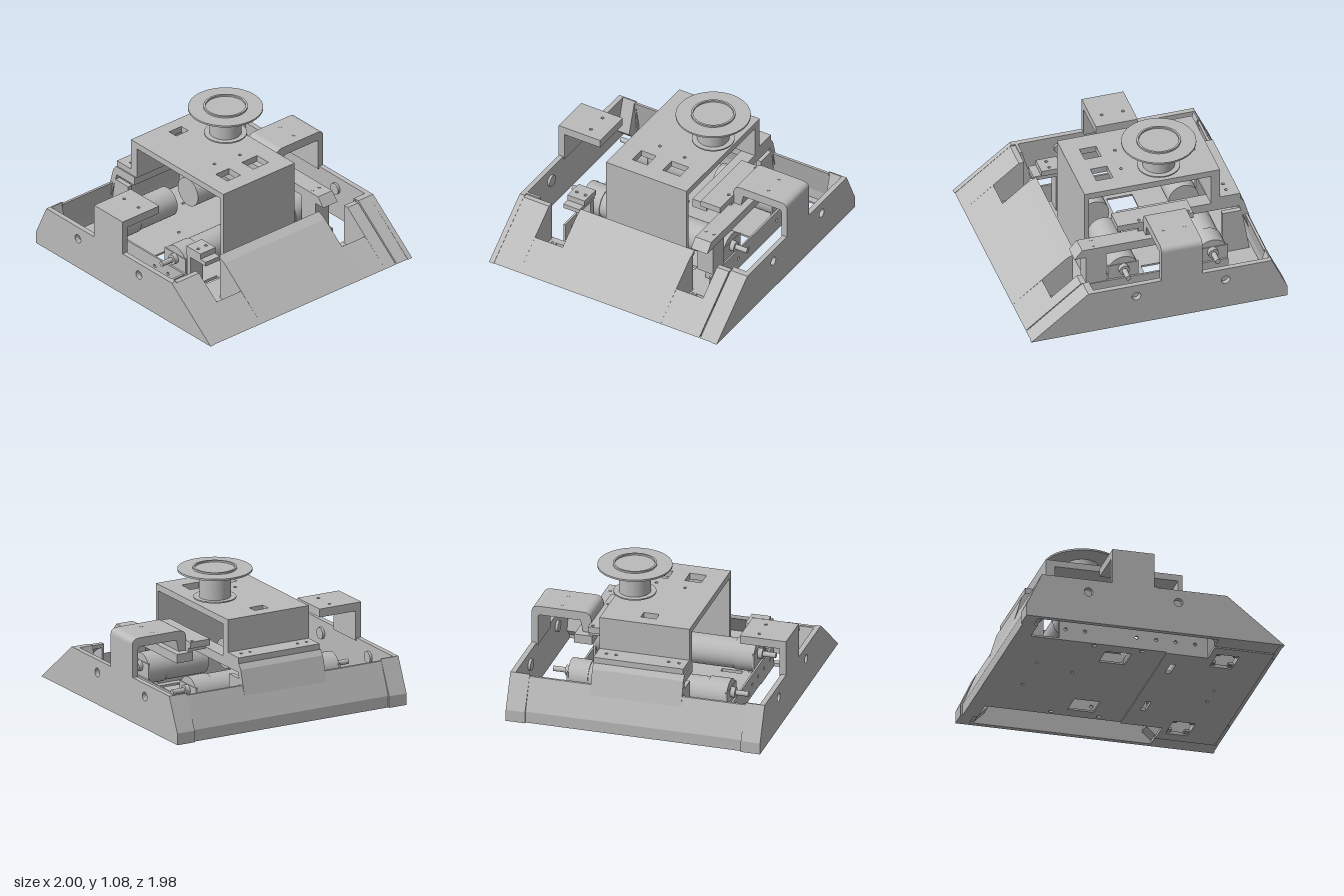
import * as THREE from 'three';

const grey = new THREE.MeshStandardMaterial({ color: 0xbababa });
grey.name = 'plain grey';

export function createModel() {
  const model = new THREE.Group();
  model.name = 'robotChassis';

  const add = (name, geometry) => {
    const mesh = new THREE.Mesh(geometry, grey);
    mesh.name = name;
    model.add(mesh);
    return mesh;
  };
  // box from its limits on each axis
  const box = (name, x0, x1, y0, y1, z0, z1) => add(name,
    new THREE.BoxGeometry(x1 - x0, y1 - y0, z1 - z0)
      .translate((x0 + x1) / 2, (y0 + y1) / 2, (z0 + z1) / 2));
  const toShape = pts => new THREE.Shape(pts.map(p => new THREE.Vector2(...p)));
  const circle = (x, y, r) => new THREE.Path().absarc(x, y, r, 0, Math.PI * 2, true);
  // front profile (x, y) pushed along z
  const alongZ = (name, pts, z0, z1, holes = []) => {
    const s = toShape(pts);
    holes.forEach(([x, y, r]) => s.holes.push(circle(x, y, r)));
    return add(name, new THREE.ExtrudeGeometry(s, { depth: z1 - z0, bevelEnabled: false, curveSegments: 16 })
      .translate(0, 0, z0));
  };
  // plan outline (x, z) pushed up, with rectangular and round holes
  const rect = ([x0, x1, z0, z1]) => [[x0, z1], [x1, z1], [x1, z0], [x0, z0]];
  const plan = pts => toShape(pts.map(([x, z]) => [x, -z]));
  const plate = (name, outline, y0, y1, rects = [], rounds = []) => {
    const s = plan(outline);
    rects.forEach(r => s.holes.push(plan(rect(r).reverse())));
    rounds.forEach(([x, z, r = 0.012]) => s.holes.push(circle(x, -z, r)));
    return add(name, new THREE.ExtrudeGeometry(s, { depth: y1 - y0, bevelEnabled: false, curveSegments: 8 })
      .rotateX(-Math.PI / 2).translate(0, y0, 0));
  };
  const cylZ = (name, x, y, r, z0, z1) => add(name,
    new THREE.CylinderGeometry(r, r, Math.abs(z1 - z0), 32)
      .rotateX(Math.PI / 2).translate(x, y, (z0 + z1) / 2));
  const disc = (name, r, y0, y1) => add(name,
    new THREE.CylinderGeometry(r, r, y1 - y0, 64).translate(-0.237, (y0 + y1) / 2, -0.217));
  const screw = (name, x, y, z, r = 0.013) => add(name,
    new THREE.CylinderGeometry(r, r, 0.006, 16).translate(x, y, z));

  // floor with side cut-outs for the wheels, square wells, slots and screw holes
  const wells = [[0.55, 0.72, 0.5, 0.72], [0.55, 0.72, -0.72, -0.5]];
  const slots = [[0.26, 0.3, -0.38, -0.22], [0.26, 0.3, 0.3, 0.46]];
  plate('floor', [[-0.97, 0.84], [-0.87, 0.84], [-0.87, 0.64], [0.5, 0.64], [0.5, 0.95], [0.96, 0.95],
    [0.96, -0.84], [0.5, -0.84], [0.5, -0.64], [-0.87, -0.64], [-0.87, -0.84], [-0.97, -0.84]], 0.01, 0.025,
    [...wells, ...slots, [-0.26, -0.06, 0.34, 0.53], [-0.26, -0.06, -0.53, -0.34]],
    [[-0.37, 0.6, 0.018], [0, 0.6, 0.018], [-0.37, -0.6, 0.018], [0, -0.6, 0.018],
      [-0.4, 0.1], [-0.7, 0.2], [-0.7, -0.2], [0.7, 0.1], [0.7, -0.1]]);
  plate('scraperPlate', [[0.18, 0.64], [0.5, 0.64], [0.5, 0.83], [0.96, 0.83],
    [0.96, -0.83], [0.5, -0.83], [0.5, -0.64], [0.18, -0.64]], 0, 0.01,
    [...wells, ...slots], [[0.7, 0.1], [0.7, -0.1]]);
  // mounting tabs in the corners of each well
  for (const [x0, x1, z0, z1] of wells) {
    box('wellBackRim', x1, 0.76, 0.02, 0.045, z0, z1);
    for (const x of [x0, x1 - 0.035]) for (const z of [z0, z1 - 0.05])
      plate('wellTab', rect([x, x + 0.035, z, z + 0.05]), 0.012, 0.03, [], [[x + 0.017, z + 0.025]]);
  }

  // long side walls with axle holes, bosses and end blocks
  const wall = [[-1, 0.01], [0.995, 0.01], [0.55, 0.36], [-0.88, 0.36], [-1, 0.1]];
  const axles = [-0.52, 0.175];
  for (const s of [-1, 1]) {
    const span = (a, b) => s > 0 ? [a, b] : [-b, -a];
    alongZ('sideWall', wall, ...span(0.95, 0.99), axles.map(x => [x, 0.26, 0.034]));
    axles.forEach(x => cylZ('axleBoss', x, 0.26, 0.045, s * 0.93, s * 0.952));
    alongZ('leftEndBlock', [[-1, 0.01], [-0.9, 0.01], [-0.87, 0.36], [-0.88, 0.36], [-1, 0.1]],
      ...span(0.84, 0.95));
    alongZ('leftCornerGusset', [[-0.9, 0.02], [-0.87, 0.02], [-0.79, 0.1], [-0.87, 0.36]], ...span(0.85, 0.95));
    alongZ('rightCornerGusset', [[0.43, 0.1], [0.52, 0.02], [0.52, 0.36], [0.5, 0.36]], ...span(0.84, 0.95));
    // upright strip along the wheel cut-out, with screw holes
    alongZ('innerSideWall', [[-0.65, 0.025], [0.5, 0.025], [0.5, 0.18], [-0.65, 0.18]], ...span(0.625, 0.64),
      [-0.6, -0.45, -0.05, 0.1, 0.25, 0.4].map(x => [x, 0.1, 0.013]));
  }
  alongZ('backRightBlock', [[0.5, 0.01], [0.99, 0.01], [0.55, 0.36], [0.5, 0.36]], -0.96, -0.845);

  // sloped ramp: shell in the middle and outside, low pieces by the wells
  alongZ('rampCover', [[0.96, 0.02], [0.99, 0.01], [0.57, 0.345], [0.5, 0.38],
    [0.5, 0.35], [0.55, 0.32]], -0.5, 0.49);
  const low = [[0.76, 0.02], [0.99, 0.01], [0.76, 0.19]];
  const outer = [[0.96, 0.02], [0.99, 0.01], [0.56, 0.35], [0.52, 0.35], [0.52, 0.32], [0.55, 0.32]];
  const side = [[0.52, 0.012], [0.97, 0.012], [0.555, 0.338], [0.52, 0.338]];
  for (const [z0, z1, o0, o1] of [[0.49, 0.73, 0.73, 0.97], [-0.73, -0.5, -0.835, -0.73]]) {
    alongZ('rampLowPart', low, z0, z1);
    alongZ('rampOuterCover', outer, o0, o1);
    const edge = z0 > 0 ? o0 : o1 - 0.015, inner = z0 > 0 ? z0 - 0.015 : z1;
    alongZ('wellSideOuter', side, edge, edge + 0.015);
    alongZ('wellSideInner', side, inner, inner + 0.015);
  }

  // slanted left wall and its raised middle bracket
  alongZ('leftWall', [[-0.985, 0.01], [-0.92, 0.01], [-0.92, 0.1], [-0.865, 0.345], [-0.885, 0.345], [-0.985, 0.1]],
    -0.84, 0.84);
  alongZ('leftBracket', [[-0.93, 0.22], [-0.89, 0.22], [-0.82, 0.43], [-0.62, 0.43], [-0.62, 0.5], [-0.83, 0.5], [-0.86, 0.46]],
    -0.36, 0.35);
  for (const z of [-0.36, 0.31])
    alongZ('leftBracketRib', [[-0.9, 0.025], [-0.69, 0.025], [-0.69, 0.385], [-0.84, 0.385]], z, z + 0.04);

  // bridge deck with windows, legs and flange
  plate('bridgeDeck', rect([-0.67, 0.385, -0.36, 0.34]), 0.75, 0.8,
    [[-0.57, -0.49, -0.07, 0.05], [0.12, 0.25, -0.22, -0.07], [0.125, 0.255, 0.06, 0.19]],
    [[0.005, 0.1], [0.03, -0.13]]);
  box('bridgeRightLeg', 0.352, 0.385, 0.02, 0.75, -0.36, 0.34);
  box('bridgeLeftLeg', -0.67, -0.6, 0.5, 0.75, -0.36, 0.34);
  plate('bridgeFlange', rect([-0.83, -0.67, -0.36, 0.34]), 0.5, 0.545, [],
    [[-0.74, -0.285], [-0.74, -0.21], [-0.74, 0.2], [-0.74, 0.28]]);

  // motors with gearboxes, shafts and mounts
  for (const s of [-1, 1]) {
    for (const x of [-0.53, 0.165]) {
      cylZ('motor', x, 0.238, 0.115, s * 0.1, s * 0.46);
      cylZ('gearbox', x, 0.238, 0.122, s * 0.46, s * 0.62);
      cylZ('shaftCollar', x, 0.26, 0.04, s * 0.62, s * 0.66);
      cylZ('shaft', x, 0.26, 0.02, s * 0.66, s * 0.76);
      const z = s > 0 ? 0.61 : -0.625;
      box('motorPlate', x - 0.12, x + 0.12, 0.025, 0.3, z, z + 0.015);
    }
  }

  // cross beam and brackets
  plate('frontBracket', rect([0.3, 0.46, 0.48, 0.63]), 0.385, 0.43, [], [[0.39, 0.515], [0.39, 0.59]]);
  box('frontBracketLedge', 0.3, 0.52, 0.35, 0.385, 0.49, 0.63);
  box('frontBracketPost', 0.3, 0.34, 0.02, 0.35, 0.5, 0.625);
  alongZ('backBeam', [[-0.4, 0.43], [0.55, 0.43], [0.49, 0.5], [-0.4, 0.5]], -0.64, -0.5);
  for (const z of [-0.6, -0.53]) screw('beamScrew', 0.39, 0.5, z);
  box('backBracketPost', 0.3, 0.46, 0.18, 0.43, -0.635, -0.5);
  box('backBracketFoot', 0.3, 0.34, 0.02, 0.18, -0.625, -0.5);
  plate('backPanel', rect([-0.41, 0.18, -0.53, -0.36]), 0.53, 0.58, [], [[-0.38, -0.5], [0.005, -0.5]]);
  box('backPanelSpacer', -0.38, 0.02, 0.5, 0.53, -0.53, -0.38);
  box('innerShelf', -0.62, 0.1, 0.43, 0.5, -0.36, -0.24);

  // front and back towers
  box('frontTowerWall', -0.335, -0.01, 0.34, 0.575, 0.94, 0.99);
  plate('frontTowerTop', rect([-0.335, -0.01, 0.63, 0.99]), 0.57, 0.635, [], [[-0.26, 0.76], [-0.095, 0.76]]);
  const arch = new THREE.Shape();
  arch.moveTo(-0.99, 0.34).lineTo(-0.94, 0.34).lineTo(-0.94, 0.57).quadraticCurveTo(-0.94, 0.59, -0.92, 0.59)
    .lineTo(-0.61, 0.59).lineTo(-0.59, 0.5).lineTo(-0.525, 0.5).lineTo(-0.525, 0.6)
    .quadraticCurveTo(-0.53, 0.66, -0.59, 0.66).lineTo(-0.93, 0.66).quadraticCurveTo(-0.99, 0.66, -0.99, 0.61);
  add('backTower', new THREE.ExtrudeGeometry(arch, { depth: 0.32, bevelEnabled: false })
    .rotateY(-Math.PI / 2).translate(-0.02, 0, 0));
  for (const x of [-0.265, -0.105]) screw('towerScrew', x, 0.659, -0.775);

  // spool above the deck
  disc('spoolLowerFlange', 0.16, 0.837, 0.847);
  disc('spoolHub', 0.12, 0.847, 1.05);
  disc('spoolUpperFlange', 0.28, 1.05, 1.064);
  const ring = [[0.15, 1.064], [0.165, 1.064], [0.165, 1.077], [0.15, 1.077], [0.15, 1.064]];
  add('spoolRing', new THREE.LatheGeometry(ring.map(p => new THREE.Vector2(...p)), 64)
    .translate(-0.237, 0, -0.217).toNonIndexed()).geometry.computeVertexNormals();
  return model;
}
